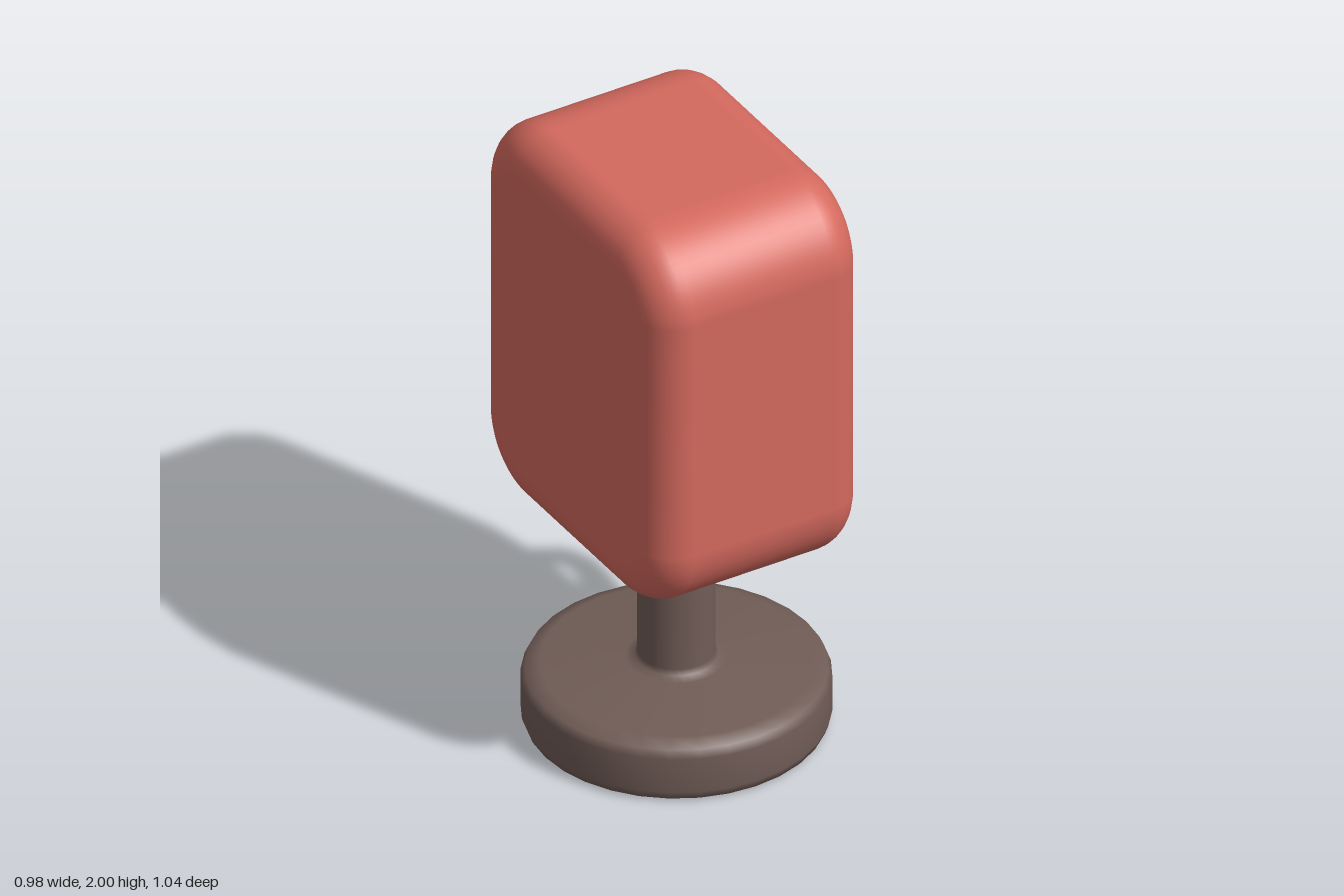
import * as THREE from 'three';
import { mergeVertices } from 'three/addons/utils/BufferGeometryUtils.js';
import { RoundedBoxGeometry } from 'three/addons/geometries/RoundedBoxGeometry.js';

const material = (name, color) => {
  const m = new THREE.MeshStandardMaterial({ color });
  m.name = name;
  return m;
};

// Weld an extruded shape so its normals run smoothly over the bevels
function smooth(geometry) {
  geometry.deleteAttribute('normal');
  geometry.deleteAttribute('uv');
  const welded = mergeVertices(geometry, 1e-4);
  welded.computeVertexNormals();
  return welded;
}

function roundedRect(w, h, r) {
  const s = new THREE.Shape();
  s.absarc(w - r, h - r, r, 0, Math.PI / 2);
  s.absarc(r - w, h - r, r, Math.PI / 2, Math.PI);
  s.absarc(r - w, r - h, r, Math.PI, Math.PI * 1.5);
  s.absarc(w - r, r - h, r, Math.PI * 1.5, Math.PI * 2);
  s.closePath();
  return s;
}

export function createModel() {
  const group = new THREE.Group();
  const red = material('red', 0xd4695e);
  const brown = material('brown', 0x705c56);
  const cream = material('cream', 0xd6ccc0);
  const add = (name, geometry, mat, x = 0, y = 0, z = 0) => {
    const mesh = new THREE.Mesh(geometry, mat);
    mesh.name = name;
    mesh.position.set(x, y, z);
    group.add(mesh);
    return mesh;
  };

  // Soft-edged body, extruded across x
  const inset = 0.13, bevel = 0.12;
  const bodyGeo = new THREE.ExtrudeGeometry(roundedRect(0.52 - inset, 0.65 - inset, 0.12), {
    depth: 0.72 - 2 * bevel, bevelSize: inset, bevelThickness: bevel, bevelSegments: 8, curveSegments: 8,
  });
  bodyGeo.translate(0, 0, -(0.36 - bevel));
  bodyGeo.rotateY(Math.PI / 2);
  add('body', smooth(bodyGeo), red, -0.05, 1.35, 0);

  // Round foot and post, turned in one piece
  const profile = [
    [0, 0], [0.425, 0], [0.425, 0], [0.447, 0.008], [0.457, 0.035], [0.457, 0.15], [0.445, 0.177],
    [0.40, 0.194], [0.15, 0.214], [0.122, 0.222], [0.115, 0.24], [0.115, 0.78],
  ].map(([r, y]) => new THREE.Vector2(r, y));
  add('stand', new THREE.LatheGeometry(profile, 32), brown, -0.035, 0, 0);

  // Brow bar with a brown end
  add('browBar', new RoundedBoxGeometry(0.10, 0.105, 0.355, 4, 0.035), cream, 0.328, 1.757, 0);
  add('browBarEnd', new RoundedBoxGeometry(0.092, 0.097, 0.08, 4, 0.034), brown, 0.326, 1.755, 0.14);

  // Eyes
  for (const z of [0.152, -0.132]) {
    add('eye', new THREE.SphereGeometry(0.06, 20, 14), brown, 0.33, 1.455, z);
  }

  // Drop-shaped nose: brown sides and a cream front
  const drop = new THREE.Shape();
  drop.moveTo(-0.025, -0.07);
  drop.lineTo(0.025, -0.07);
  drop.bezierCurveTo(0.03, -0.03, 0.052, -0.01, 0.052, 0.015);
  drop.bezierCurveTo(0.052, 0.065, -0.052, 0.065, -0.052, 0.015);
  drop.bezierCurveTo(-0.052, -0.01, -0.03, -0.03, -0.025, -0.07);
  const slab = (depth, b) => smooth(new THREE.ExtrudeGeometry(drop, {
    depth, bevelSize: b, bevelThickness: b, bevelSegments: 3, curveSegments: 8,
  }).rotateY(Math.PI / 2));
  add('noseSide', slab(0.06, 0.004), brown, 0.28, 1.265, 0);
  add('noseFront', slab(0.008, 0.008), cream, 0.349, 1.265, 0);

  // Mouth: a bent, open loop of round cord
  const points = [
    [0.378, 1.01, 0.093], [0.38, 1.08, 0.073], [0.39, 1.142, 0.025], [0.392, 1.142, -0.035],
    [0.405, 1.08, -0.082], [0.432, 0.985, -0.113], [0.442, 0.945, -0.085], [0.435, 0.943, 0], [0.425, 0.943, 0.095],
  ].map((p) => new THREE.Vector3(...p));
  const cord = 0.042;
  add('mouthLoop', new THREE.TubeGeometry(new THREE.CatmullRomCurve3(points), 60, cord, 12), red);
  for (const p of [points[0], points[points.length - 1]]) {
    add('mouthLoopEnd', new THREE.SphereGeometry(cord, 12, 10), red, p.x, p.y, p.z);
  }
  return group;
}
